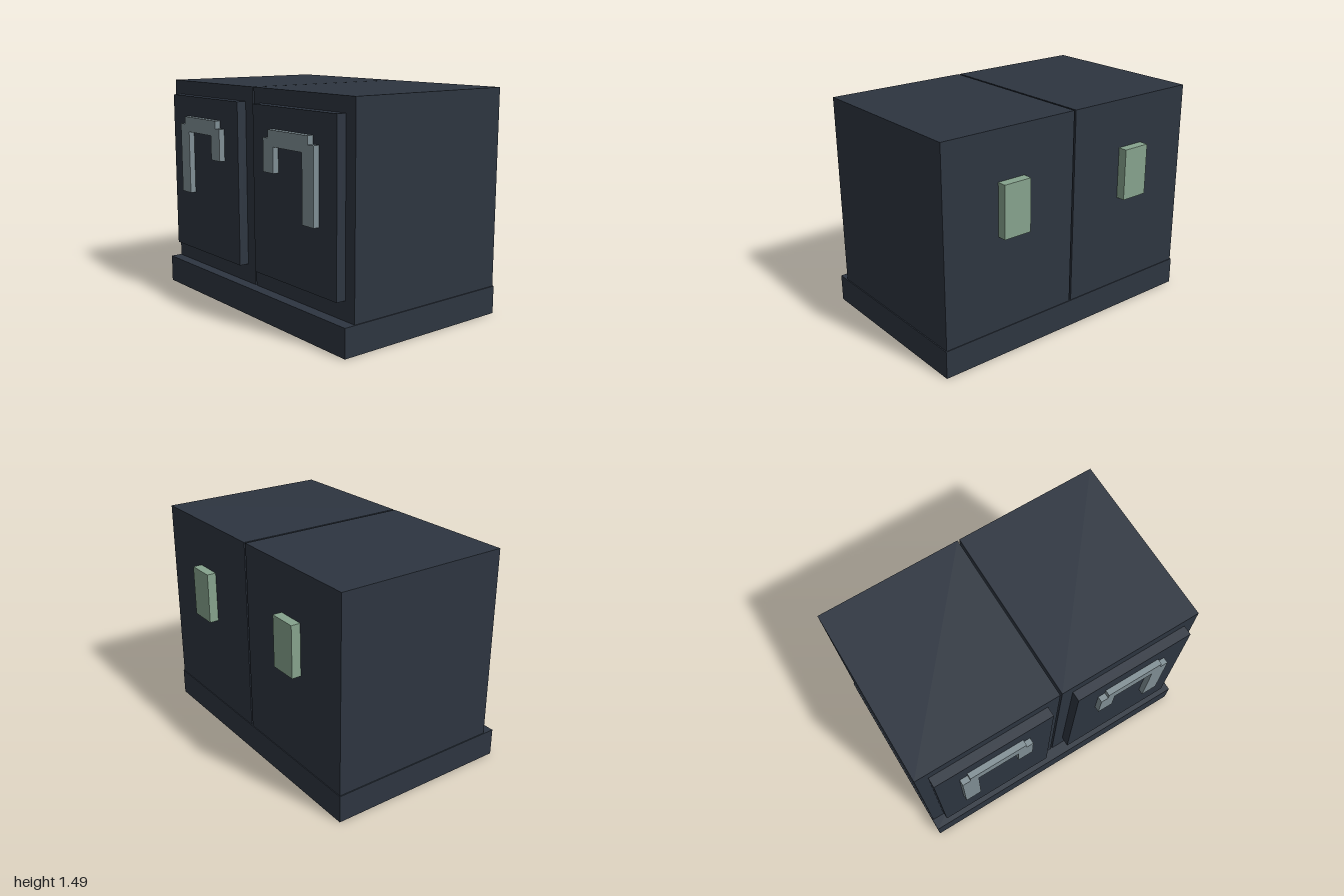
import * as THREE from 'three';

export function createModel() {
  const model = new THREE.Group();
  const material = (name, color) => {
    const m = new THREE.MeshStandardMaterial({ color });
    m.name = name;
    return m;
  };
  const slate = material('dark slate', 0x2d3540);
  const grey = material('pipe grey', 0x7f8e94);
  const green = material('pale green', 0x86a38d);

  // Box given by its minimum and maximum corners
  const box = (parent, name, mat, [x0, y0, z0], [x1, y1, z1]) => {
    const mesh = new THREE.Mesh(new THREE.BoxGeometry(x1 - x0, y1 - y0, z1 - z0), mat);
    mesh.position.set((x0 + x1) / 2, (y0 + y1) / 2, (z0 + z1) / 2);
    mesh.name = name;
    parent.add(mesh);
  };

  // Shared plinth
  box(model, 'plinth', slate, [-1, 0, -0.623], [1, 0.186, 0.656]);

  for (const side of [-1, 1]) {
    const cabinet = new THREE.Group();
    cabinet.name = side > 0 ? 'leftCabinet' : 'rightCabinet';
    const span = (a, b) => (side > 0 ? [a, b] : [-b, -a]);

    // Body, with a narrow gap between the two cabinets
    const [b0, b1] = span(0.007, 0.993);
    box(cabinet, 'body', slate, [b0, 0.186, -0.618], [b1, 1.487, 0.579]);

    // Raised door
    const [d0, d1] = span(0.088, 0.91);
    box(cabinet, 'door', slate, [d0, 0.31, 0.579], [d1, 1.39, 0.644]);

    // Hooked pipe with stepped corners, one long leg on the outside
    const points = [
      [0.64, 0.722], [0.75, 0.722], [0.75, 1.2], [0.695, 1.2], [0.695, 1.252], [0.3, 1.252],
      [0.3, 1.2], [0.25, 1.2], [0.25, 0.988], [0.355, 0.988], [0.355, 1.15], [0.64, 1.15],
    ].map(([x, y]) => new THREE.Vector2(side * x, y));
    const pipe = new THREE.Mesh(
      new THREE.ExtrudeGeometry(new THREE.Shape(points), { depth: 0.039, bevelEnabled: false }), grey);
    pipe.position.z = 0.644;
    pipe.name = 'hookedPipe';
    cabinet.add(pipe);

    // Box on the back
    const [p0, p1] = span(0.4, 0.597);
    box(cabinet, 'backBox', green, [p0, 0.818, -0.68], [p1, 1.164, -0.618]);

    model.add(cabinet);
  }
  return model;
}
